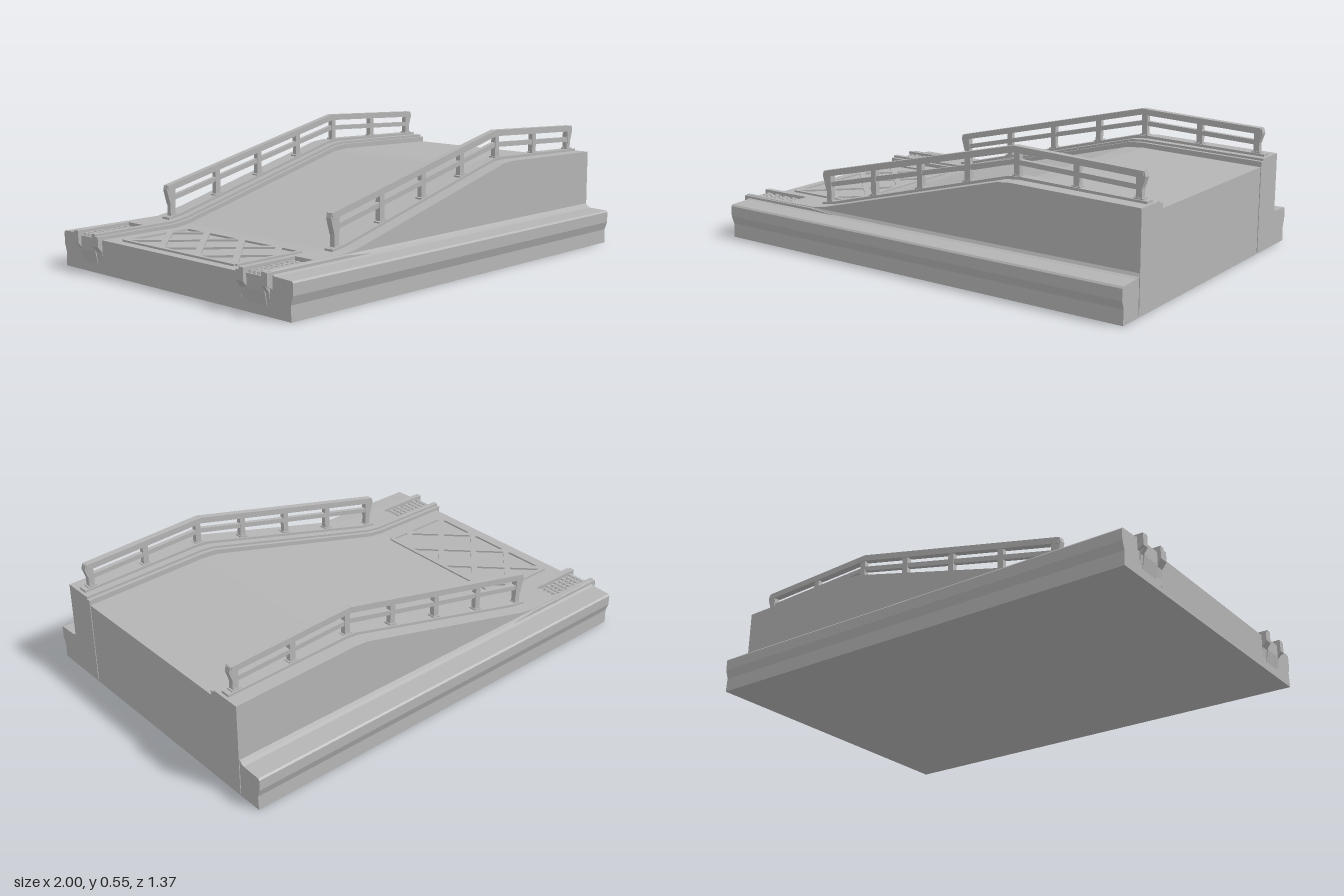
import * as THREE from 'three';

const grey = new THREE.MeshStandardMaterial({ color: 0xb4b4b4 });
grey.name = 'stoneGrey';

export function createModel() {
  const model = new THREE.Group();
  model.name = 'bridgeRamp';

  const add = (name, geometry, parent = model) => {
    const mesh = new THREE.Mesh(geometry, grey);
    mesh.name = name;
    parent.add(mesh);
    return mesh;
  };
  const toShape = (pts) => new THREE.Shape(pts.map(([x, y]) => new THREE.Vector2(x, y)));
  // Side outline in x/y, extruded from z0 to z1
  const slab = (name, pts, z0, z1, parent) => {
    const g = new THREE.ExtrudeGeometry(toShape(pts), { depth: z1 - z0, bevelEnabled: false });
    g.translate(0, 0, z0);
    return add(name, g, parent);
  };
  // Straight bar between two points in the x/y plane, with depth along z
  const bar = (name, a, b, thick, depth, z, parent) => {
    const dx = b[0] - a[0], dy = b[1] - a[1];
    const m = add(name, new THREE.BoxGeometry(Math.hypot(dx, dy), thick, depth), parent);
    m.position.set((a[0] + b[0]) / 2, (a[1] + b[1]) / 2, z);
    m.rotation.z = Math.atan2(dy, dx);
    return m;
  };

  // Base: stepped cross-section with an overhanging lip and a cove against the curbs
  const half = [[0.675, 0], [0.672, 0.06], [0.684, 0.095], [0.684, 0.14], [0.678, 0.147],
    [0.592, 0.15], [0.577, 0.156], [0.57, 0.168], [0.55, 0.12]];
  const section = [...half, ...half.map(([z, y]) => [-z, y]).reverse()];
  const base = new THREE.ExtrudeGeometry(toShape(section), { depth: 1.97, bevelEnabled: false });
  base.rotateY(Math.PI / 2);
  base.translate(-0.975, 0, 0);
  add('base', base);

  // Road deck: flat entry, slope, then a gentle fall to the high end
  slab('roadDeck', [[-0.975, 0.01], [0.995, 0.01], [0.995, 0.372], [0.44, 0.386], [0.36, 0.38],
    [-0.53, 0.151], [-0.6, 0.142], [-0.98, 0.142]], -0.42, 0.42);

  // Raised lattice panel on the entry
  const panel = new THREE.Group();
  panel.name = 'latticePanel';
  model.add(panel);
  const X0 = -0.93, X1 = -0.6, Z = 0.335, Y = 0.143;
  const rib = (name, a, b, width) => {
    const dx = b[0] - a[0], dz = b[1] - a[1];
    const m = add(name, new THREE.BoxGeometry(Math.hypot(dx, dz), 0.014, width), panel);
    m.position.set((a[0] + b[0]) / 2, Y, (a[1] + b[1]) / 2);
    m.rotation.y = -Math.atan2(dz, dx);
  };
  for (const s of [-1, 1]) {
    rib('panelEdge', [X0, s * Z], [X1, s * Z], 0.018);
    const x = s < 0 ? X0 : X1;
    rib('panelEnd', [x, -Z], [x, Z], 0.018);
    // Diagonals z = s * (x - centre) + offset, clipped to the panel
    for (let k = -2; k <= 2; k++) {
      const cx = (X0 + X1) / 2, off = k * 0.215 + 0.05 * s;
      const xa = cx + s * (-Z - off), xb = cx + s * (Z - off);
      const lo = Math.max(X0, Math.min(xa, xb)), hi = Math.min(X1, Math.max(xa, xb));
      if (hi - lo > 0.03) rib('latticeRib', [lo, s * (lo - cx) + off], [hi, s * (hi - cx) + off], 0.026);
    }
  }

  // Curb outline, lowered by d
  const curb = (d) => [[-0.97, 0.01], [0.998, 0.01], [0.998, 0.405 - d], [0.43, 0.418 - d],
    [0.37, 0.413 - d], [-0.53, 0.179 - d], [-0.6, 0.169 - d], [-1, 0.166 - d], [-1, 0.115], [-0.98, 0.09]];
  // Middle of the curb has an open pocket at the low end
  const pocket = [...curb(0).slice(0, 7), [-0.745, 0.168], [-0.745, 0.145], [-0.985, 0.145], [-0.985, 0.09]];

  for (const s of [-1, 1]) {
    const side = new THREE.Group();
    side.name = s > 0 ? 'frontCurbAndRailing' : 'backCurbAndRailing';
    model.add(side);
    const strip = (name, pts, a, b) => slab(name, pts, s > 0 ? a : -b, s > 0 ? b : -a, side);
    strip('curbInnerLip', curb(0.01), 0.415, 0.432);
    strip('curbInner', curb(0), 0.432, 0.455);
    strip('curbMiddle', pocket, 0.455, 0.55);
    strip('curbOuter', curb(0), 0.55, 0.568);
    // Wider foot beside the pocket
    strip('curbFoot', [[-0.97, 0.1], [-0.4, 0.1], [-0.4, 0.15], [-0.6, 0.166], [-1, 0.164], [-1, 0.115]], 0.568, 0.58);

    // Studded pad in the pocket
    for (let i = 0; i < 9; i++) for (let j = 0; j < 4; j++) {
      const stud = add('padStud', new THREE.CylinderGeometry(0.009, 0.013, 0.012, 6), side);
      stud.position.set(-0.968 + i * 0.0255, 0.15, s * (0.466 + j * 0.0225 + (i % 2) * 0.008));
    }

    // Railing plinth
    const plinth = [[-0.6, 0.165], [-0.53, 0.176], [0.37, 0.41], [0.43, 0.415], [0.985, 0.402],
      [0.985, 0.415], [0.43, 0.43], [0.38, 0.427], [-0.53, 0.19], [-0.6, 0.178]];
    strip('railPlinth', plinth, 0.465, 0.507);

    // Handrail and mid rail follow the same bend
    const z = s * 0.486;
    const topY = (x) => (x < 0.4 ? 0.533 - (0.4 - x) * 0.234 : 0.533 - (x - 0.4) * 0.043);
    const rail = (name, drop, thick, depth, x0, x1) => {
      const p = [x0, 0.4, x1].map((x) => [x, topY(x) - drop]);
      bar(name, p[0], p[1], thick, depth, z, side);
      bar(name, p[1], p[2], thick, depth, z, side);
      const joint = add(name + 'Joint', new THREE.CylinderGeometry(thick / 2, thick / 2, depth, 12), side);
      joint.rotation.x = Math.PI / 2;
      joint.position.set(p[1][0], p[1][1], z);
    };
    rail('handrail', 0, 0.026, 0.03, -0.592, 0.962);
    rail('midRail', 0.05, 0.02, 0.02, -0.57, 0.95);

    // Posts with small feet
    [-0.568, -0.315, -0.068, 0.175, 0.412, 0.68, 0.945].forEach((x) => {
      const foot = x < 0.4 ? 0.427 - (0.4 - x) * 0.262 : 0.427 - (x - 0.4) * 0.022;
      bar('post', [x, foot - 0.015], [x, topY(x)], 0.026, 0.022, z, side);
      bar('postFoot', [x - 0.02, foot], [x + 0.02, foot + (x < 0.4 ? 0.01 : -0.001)], 0.014, 0.03, z, side);
    });
    // Flared rail ends
    slab('railEndLow', [[-0.555, 0.23], [-0.555, 0.308], [-0.595, 0.31], [-0.6, 0.295], [-0.582, 0.23]], z - 0.013, z + 0.013, side);
    slab('railEndHigh', [[0.935, 0.44], [0.952, 0.44], [0.972, 0.5], [0.966, 0.52], [0.935, 0.52]], z - 0.013, z + 0.013, side);
  }
  return model;
}
